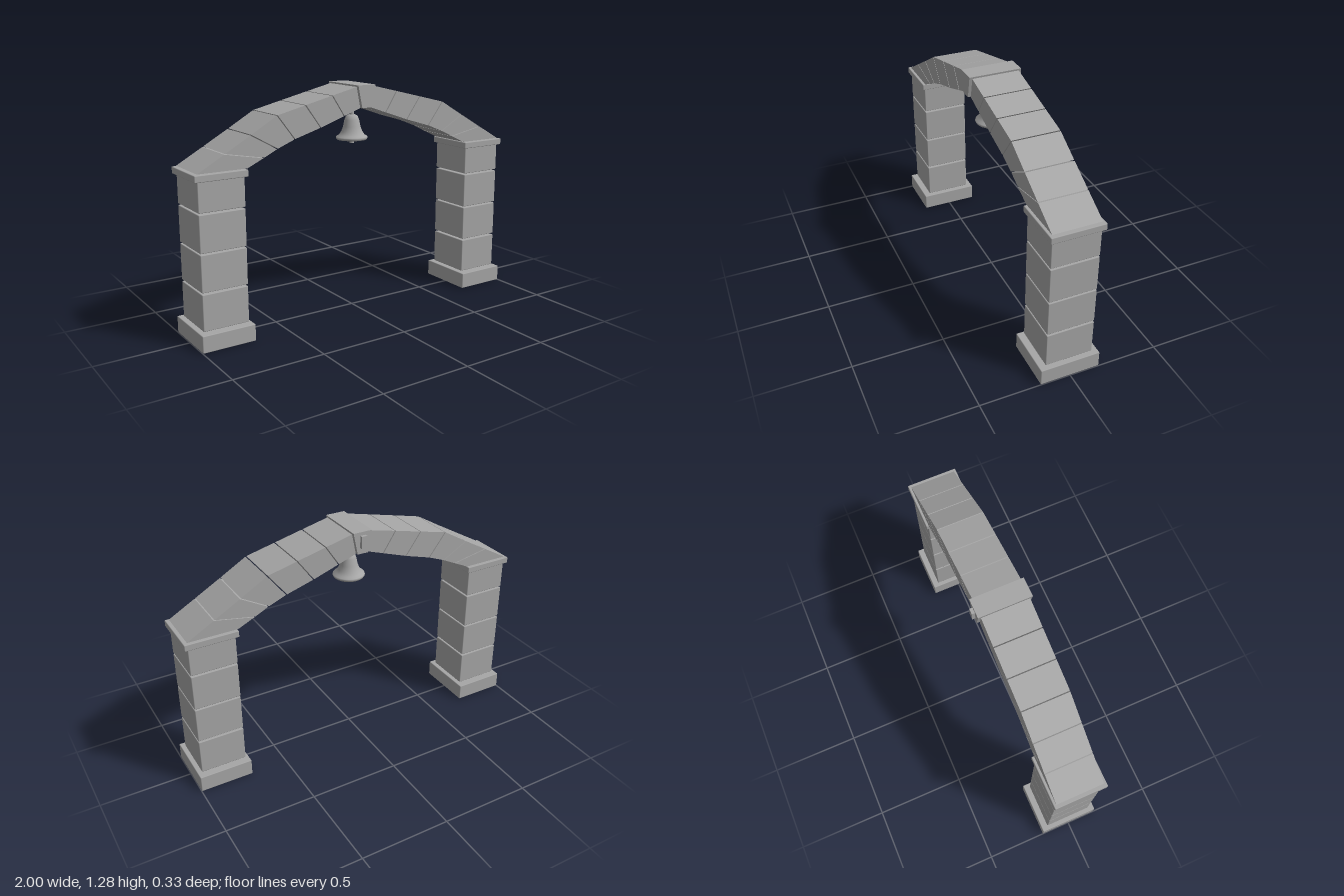
import * as THREE from 'three';
import { RoundedBoxGeometry } from 'three/addons/geometries/RoundedBoxGeometry.js';

const stone = new THREE.MeshStandardMaterial({ color: 0xa6a6a6 });
stone.name = 'grey stone';

function add(parent, name, geometry, x = 0, y = 0, z = 0) {
  const mesh = new THREE.Mesh(geometry, stone);
  mesh.name = name;
  mesh.position.set(x, y, z);
  parent.add(mesh);
  return mesh;
}

// Softly chamfered block given its bottom and top heights
function block(parent, name, x, width, y0, y1, depth) {
  const geo = new RoundedBoxGeometry(width, y1 - y0, depth, 1, 0.004);
  add(parent, name, geo, x, (y0 + y1) / 2, 0);
}

// Prism with a polygon front, centred on z = 0
function prism(points, depth) {
  const shape = new THREE.Shape(points.map(([x, y]) => new THREE.Vector2(x, y)));
  const geo = new THREE.ExtrudeGeometry(shape, { depth, bevelEnabled: false });
  return geo.translate(0, 0, -depth / 2);
}

// Joints of the half arch, from springing to keystone: outer point, inner point
const joints = [
  [[0.978, 0.902], [0.71, 0.902]],
  [[0.828, 0.986], [0.615, 0.946]],
  [[0.684, 1.067], [0.537, 0.984]],
  [[0.535, 1.153], [0.436, 1.024]],
  [[0.37, 1.193], [0.281, 1.07]],
  [[0.208, 1.232], [0.135, 1.12]],
  [[0.053, 1.269], [0.03, 1.156]],
];

// Point a moved a small fixed distance towards b, leaving an open joint
function inset(a, b, gap) {
  const t = gap / Math.hypot(b[0] - a[0], b[1] - a[1]);
  return [a[0] + (b[0] - a[0]) * t, a[1] + (b[1] - a[1]) * t];
}

function buildSide(side) {
  const group = new THREE.Group();
  group.name = side > 0 ? 'leftSide' : 'rightSide';

  // Pillar: plinth, four stacked blocks, cap
  block(group, 'plinth', side * 0.852, 0.294, 0, 0.092, 0.332);
  const courses = [[0.098, 0.293], [0.302, 0.498], [0.505, 0.701], [0.709, 0.868]];
  courses.forEach(([y0, y1], i) =>
    block(group, 'pillarBlock' + (i + 1), side * 0.85, 0.252, y0, y1, 0.262));
  block(group, 'pillarCap', side * 0.852, 0.286, 0.864, 0.9, 0.29);

  // Wedge stones of the half arch
  for (let i = 0; i < joints.length - 1; i++) {
    const [o0, i0] = joints[i];
    const [o1, i1] = joints[i + 1];
    const g = 0.003;
    const pts = [inset(o0, o1, g), inset(i0, i1, g), inset(i1, i0, g), inset(o1, o0, g)];
    add(group, 'archStone' + (i + 1), prism(pts.map(([x, y]) => [side * x, y]), 0.262));
  }
  return group;
}

function buildBell() {
  const bell = new THREE.Group();
  bell.name = 'bell';

  // Hollow body: inside from the top down, round the lip, then up the outside
  const profile = [
    [0, 1.085], [0.022, 1.08], [0.033, 1.05], [0.048, 1.005], [0.07, 0.972],
    [0.083, 0.968], [0.088, 0.976], [0.086, 0.984], [0.072, 0.992], [0.058, 1.012],
    [0.048, 1.04], [0.041, 1.075], [0.032, 1.097], [0.018, 1.105], [0, 1.105],
  ];
  const points = profile.map(([r, y]) => new THREE.Vector2(r, y));
  add(bell, 'bellBody', new THREE.LatheGeometry(points, 24));

  add(bell, 'bellStem', new THREE.CylinderGeometry(0.012, 0.012, 0.04, 12), 0, 1.116);
  add(bell, 'clapperRod', new THREE.CylinderGeometry(0.006, 0.006, 0.11, 8), 0, 1.03);
  add(bell, 'clapper', new THREE.CylinderGeometry(0.013, 0.013, 0.035, 12), 0, 0.965);
  return bell;
}

export function createModel() {
  const model = new THREE.Group();
  model.name = 'bellArch';
  model.add(buildSide(1), buildSide(-1));

  // Keystone with a small block on its back
  const key = [[-0.055, 1.277], [-0.03, 1.156], [0.03, 1.156], [0.055, 1.277]];
  add(model, 'keystone', prism(key, 0.292));
  add(model, 'keystoneBoss', new THREE.BoxGeometry(0.032, 0.068, 0.02), 0, 1.224, -0.153);

  model.add(buildBell());
  return model;
}
